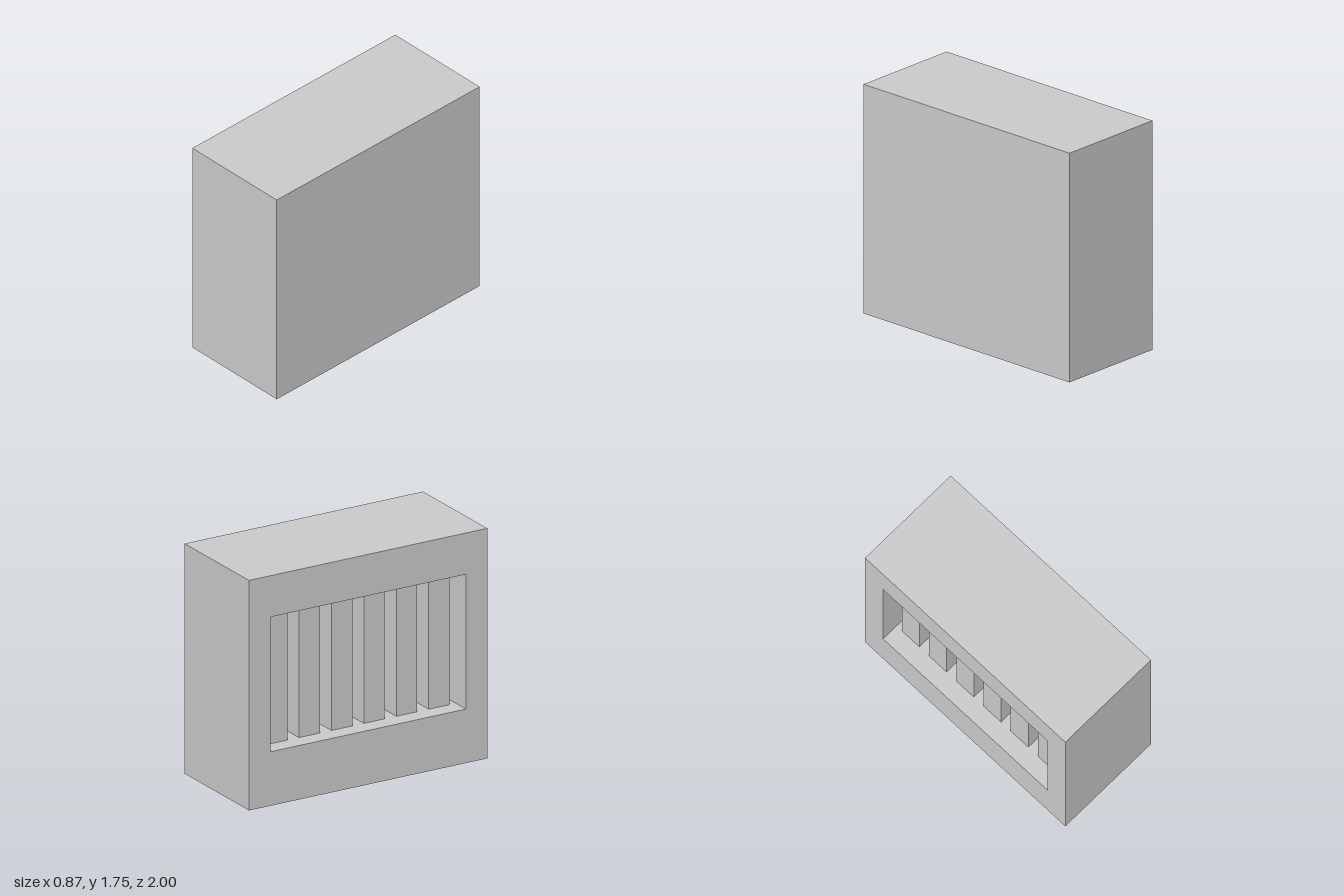
import * as THREE from 'three';

const W = 0.873, H = 1.755, D = 2;        // overall width (x), height, depth (z)
const NICHE = 0.31;                       // depth of the recess in the -x side
const SLAT_INSET = 0.137, SLAT_WIDTH = 0.175, SLAT_PITCH = 0.272, SLAT_COUNT = 6;
const OPEN = { z: 0.82, bottom: 0.412, top: 1.44 };

export function createModel() {
  const group = new THREE.Group();
  const material = new THREE.MeshStandardMaterial({ color: 0xcccccc, flatShading: true });

  const add = (name, geometry, x, y, z) => {
    const mesh = new THREE.Mesh(geometry, material);
    mesh.name = name;
    mesh.position.set(x, y, z);
    group.add(mesh);
  };
  const rect = (Type, halfWidth, bottom, top) => new Type([
    new THREE.Vector2(-halfWidth, bottom), new THREE.Vector2(halfWidth, bottom),
    new THREE.Vector2(halfWidth, top), new THREE.Vector2(-halfWidth, top),
  ]);

  // Solid body behind the recess
  const bodyWidth = W - NICHE;
  add('body', new THREE.BoxGeometry(bodyWidth, H, D), W / 2 - bodyWidth / 2, H / 2, 0);

  // Frame around the rectangular opening, extruded towards -x
  const outline = rect(THREE.Shape, D / 2, 0, H);
  outline.holes.push(rect(THREE.Path, OPEN.z, OPEN.bottom, OPEN.top));
  const frame = new THREE.ExtrudeGeometry(outline, { depth: NICHE, bevelEnabled: false });
  frame.rotateY(-Math.PI / 2);
  add('openingFrame', frame, -W / 2 + NICHE, 0, 0);

  // Row of upright slats set back inside the opening
  const slatDepth = NICHE - SLAT_INSET;
  const slat = new THREE.BoxGeometry(slatDepth, OPEN.top - OPEN.bottom, SLAT_WIDTH);
  for (let i = 0; i < SLAT_COUNT; i++) {
    const z = (i - (SLAT_COUNT - 1) / 2) * SLAT_PITCH;
    add(`slat${i + 1}`, slat, -W / 2 + SLAT_INSET + slatDepth / 2, (OPEN.top + OPEN.bottom) / 2, z);
  }
  return group;
}
